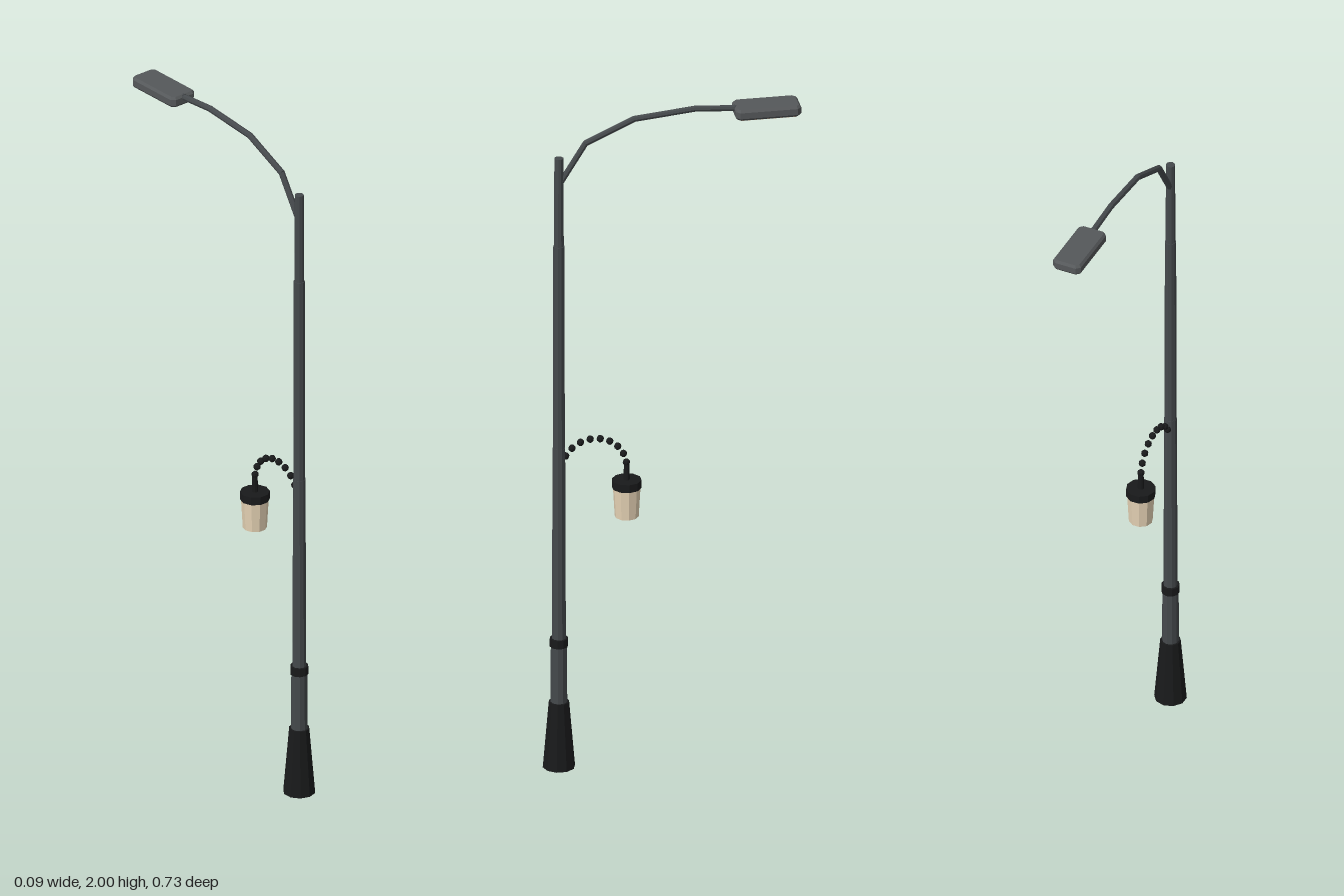
import * as THREE from 'three';

const POLE_Z = 0.319;
const LAMP_Z = 0.126;

const paint = (color) => new THREE.MeshStandardMaterial({ color, flatShading: true });

export function createModel() {
  const group = new THREE.Group();
  const steel = paint(0x45494c);
  const black = paint(0x191a1b);
  const glass = paint(0xe6d3b5);
  const headGrey = paint(0x55585a);
  const panelMat = paint(0xb09a84);

  const add = (name, geometry, material, x = 0, y = 0, z = 0, parent = group) => {
    const mesh = new THREE.Mesh(geometry, material);
    mesh.name = name;
    mesh.position.set(x, y, z);
    parent.add(mesh);
    return mesh;
  };
  // Upright tapered cylinder between two heights
  const column = (name, y0, y1, r0, r1, z, material, parent = group) =>
    add(name, new THREE.CylinderGeometry(r1, r0, y1 - y0, 10), material, 0, (y0 + y1) / 2, z, parent);

  // Pole: flared foot, stepped shaft and collar
  column('base', 0, 0.2, 0.046, 0.029, POLE_Z, black);
  column('lowerPole', 0.19, 0.38, 0.024, 0.023, POLE_Z, steel);
  column('collar', 0.37, 0.395, 0.026, 0.026, POLE_Z, black);
  column('middlePole', 0.38, 0.98, 0.02, 0.018, POLE_Z, steel);
  column('upperPole', 0.98, 1.6, 0.017, 0.016, POLE_Z, steel);
  column('poleTop', 1.6, 1.87, 0.014, 0.013, POLE_Z, steel);

  // Arm: straight mitred segments reaching back to the lamp head
  const armPath = new THREE.CurvePath();
  const armPoints = [[1.795, 0.314], [1.91, 0.243], [1.973, 0.105], [1.99, -0.068], [1.982, -0.19]]
    .map(([y, z]) => new THREE.Vector3(0, y, z));
  const arm = new THREE.Group();
  arm.name = 'arm';
  group.add(arm);
  const up = new THREE.Vector3(0, 1, 0);
  armPoints.slice(1).forEach((b, i) => {
    const a = armPoints[i];
    armPath.add(new THREE.LineCurve3(a, b));
    const dir = b.clone().sub(a);
    const segment = add('armSegment', new THREE.CylinderGeometry(0.009, 0.009, dir.length() + 0.003, 8), steel, 0, 0, 0, arm);
    segment.position.copy(a).add(b).multiplyScalar(0.5);
    segment.quaternion.setFromUnitVectors(up, dir.normalize());
  });
  const tip = add('armTip', new THREE.ConeGeometry(0.009, 0.04, 8), steel, 0, 1.984, -0.2, arm);
  tip.rotation.x = -Math.PI / 2;

  // Lamp head: flat slab with clipped corners and bevelled rims
  const w = 0.037, l = 0.087, c = 0.008;
  const outline = new THREE.Shape([
    [-w + c, -l], [w - c, -l], [w, -l + c], [w, l - c],
    [w - c, l], [-w + c, l], [-w, l - c], [-w, -l + c],
  ].map(([x, y]) => new THREE.Vector2(x, y)));
  const headGeo = new THREE.ExtrudeGeometry(outline, {
    depth: 0.018, bevelEnabled: true, bevelSegments: 1, bevelSize: 0.006, bevelThickness: 0.007,
  });
  headGeo.translate(0, 0, -0.009).rotateX(-Math.PI / 2);
  add('lampHead', headGeo, headGrey, 0, 1.975, -0.272);
  add('lightPanel', new THREE.BoxGeometry(0.064, 0.004, 0.156), panelMat, 0, 1.958, -0.272);

  // Beaded bracket curving from the pole to the hanging lantern
  const lantern = new THREE.Group();
  lantern.name = 'hangingLantern';
  group.add(lantern);
  const beads = 9, radius = 0.093;
  for (let i = 0; i < beads; i++) {
    const t = THREE.MathUtils.degToRad(8 + (142 * i) / (beads - 1));
    add('bead', new THREE.SphereGeometry(0.0105, 8, 6), black,
      0, 0.906 + radius * Math.sin(t), LAMP_Z + radius * (1 - Math.cos(t)), lantern);
  }

  // Lantern: stem, cap and tapered shade
  column('lanternStem', 0.86, 0.92, 0.009, 0.008, LAMP_Z, black, lantern);
  const cap = column('lanternCap', 0.842, 0.866, 0.042, 0.042, LAMP_Z, black, lantern);
  const shade = column('lanternShade', 0.754, 0.842, 0.034, 0.039, LAMP_Z, glass, lantern);
  cap.rotation.y = shade.rotation.y = Math.PI / 2;

  return group;
}
